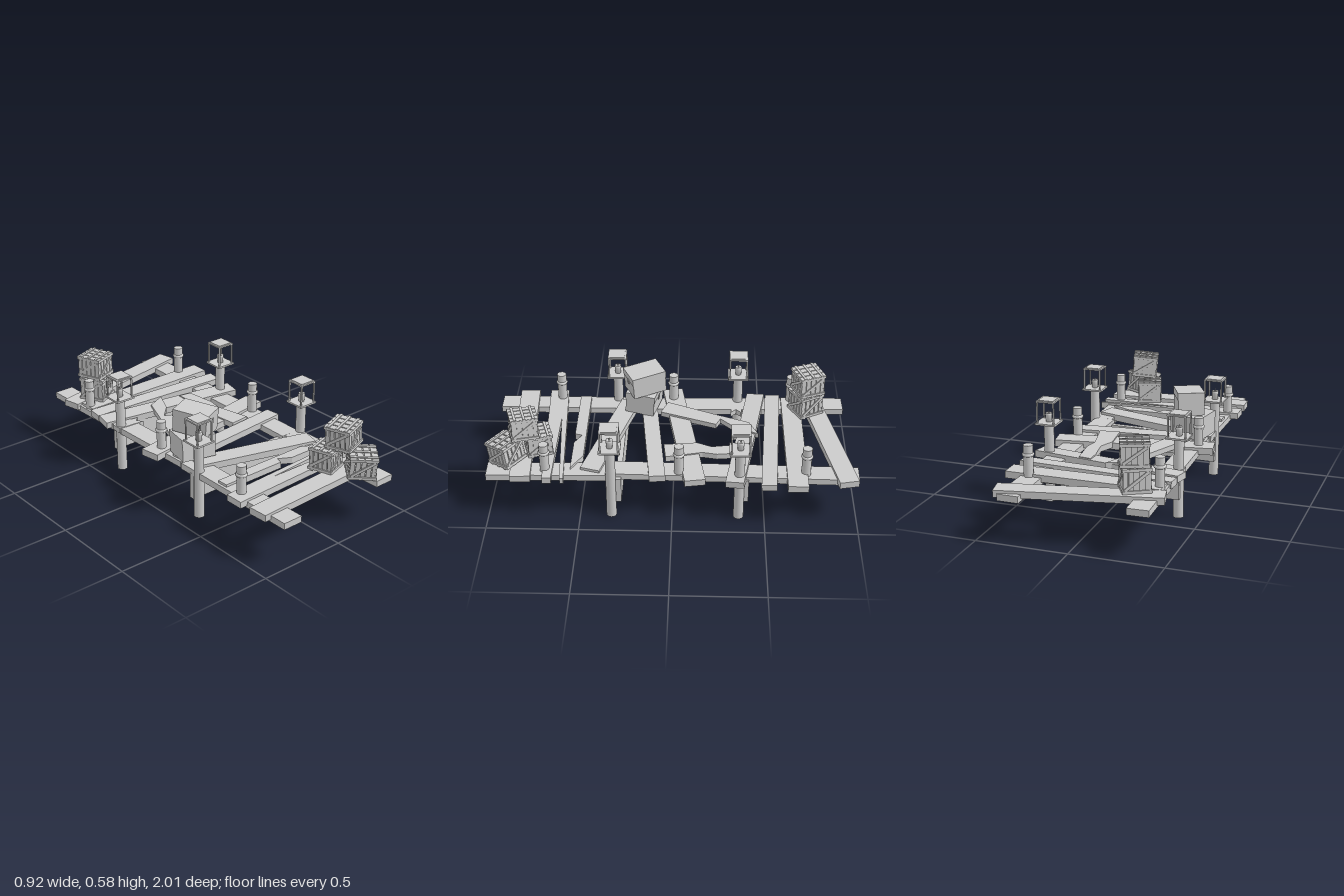
import * as THREE from 'three';

const mat = new THREE.MeshStandardMaterial({ color: 0xcccccc, side: THREE.DoubleSide });

function add(parent, name, geo, x = 0, y = 0, z = 0, ry = 0, rx = 0, rz = 0) {
  const m = new THREE.Mesh(geo, mat);
  m.name = name;
  m.position.set(x, y, z);
  m.rotation.set(rx, ry, rz, 'YXZ');
  parent.add(m);
  return m;
}
const box = (w, h, d) => new THREE.BoxGeometry(w, h, d);

// Flat splintered board from an outline of [x, z] points
function brokenBoard(parent, name, pts, y, h, rx = 0, rz = 0) {
  const cx = pts.reduce((s, p) => s + p[0], 0) / pts.length;
  const cz = pts.reduce((s, p) => s + p[1], 0) / pts.length;
  const shape = new THREE.Shape(pts.map(([x, z]) => new THREE.Vector2(x - cx, cz - z)));
  const geo = new THREE.ExtrudeGeometry(shape, { depth: h, bevelEnabled: false });
  geo.rotateX(-Math.PI / 2);
  add(parent, name, geo, cx, y, cz, 0, rx, rz);
}

// Slatted crate with edge frames, a diagonal brace on each side and battens on top
function crate(w, h, d) {
  const g = new THREE.Group();
  g.name = 'woodenCrate';
  const t = 0.006;
  add(g, 'crateCore', box(w - 4 * t, h - 3 * t, d - 4 * t));
  for (let s = 0; s < 4; s++) {
    const side = new THREE.Group();
    side.name = 'crateSide';
    side.rotation.y = s * Math.PI / 2;
    const len = s % 2 ? d : w, off = (s % 2 ? w : d) / 2;
    const n = 5, pitch = len / n;
    for (let i = 0; i < n; i++)
      add(side, 'slat', box(pitch * 0.8, h - t, t), (i - (n - 1) / 2) * pitch * 0.97, 0, off - t * 1.5);
    for (const k of [-1, 1]) {
      add(side, 'rail', box(len, 0.015, t), 0, k * (h / 2 - 0.009), off - t / 2);
    }
    const a = Math.atan2(h - 0.03, len - 0.02);
    add(side, 'brace', box(Math.hypot(h - 0.03, len - 0.02) - 0.012, 0.016, t), 0, 0, off - t / 2, 0, 0, a);
    g.add(side);
  }
  for (const k of [-1, 1]) {
    for (let i = 0; i < 4; i++)
      add(g, 'lidSlat', box(w / 4 * 0.84, t, d), (i - 1.5) * w / 4, k * (h / 2 - t / 2), 0);
    for (const j of [-1, 0, 1])
      add(g, 'batten', box(w, t, 0.014), 0, k * (h / 2 + t / 3), j * d * 0.33);
  }
  return g;
}

// Plain box with an overlapping lid
function lidBox(w, h, d) {
  const g = new THREE.Group();
  g.name = 'storageBox';
  add(g, 'boxBody', box(w - 0.005, h, d - 0.005));
  add(g, 'boxLid', box(w, 0.04, d), 0, h / 2 - 0.018, 0);
  for (const k of [-1, 1]) add(g, 'boxTape', box(0.02, 0.03, 0.004), 0, h / 2 - 0.045, k * d / 2);
  return g;
}

function place(parent, g, x, y, z, ry, rx = 0, rz = 0) {
  g.position.set(x, y, z);
  g.rotation.set(rx, ry, rz, 'YXZ');
  parent.add(g);
}

function lanternPost(x, z) {
  const g = new THREE.Group();
  g.name = 'lanternPost';
  g.position.set(x, 0, z);
  add(g, 'pole', new THREE.CylinderGeometry(0.027, 0.028, 0.44, 16), 0, 0.22, 0);
  add(g, 'lanternBase', box(0.116, 0.01, 0.116), 0, 0.445, 0);
  add(g, 'lanternRoof', box(0.104, 0.008, 0.104), 0, 0.569, 0);
  add(g, 'lanternCap', box(0.084, 0.004, 0.084), 0, 0.574, 0);
  for (const i of [-1, 1]) for (const j of [-1, 1])
    add(g, 'lanternStrut', box(0.008, 0.12, 0.008), i * 0.047, 0.508, j * 0.047);
  const candle = [[0, 0.45], [0.016, 0.45], [0.019, 0.488], [0.018, 0.499], [0.012, 0.497], [0, 0.495]];
  add(g, 'candle', new THREE.LatheGeometry(candle.map(p => new THREE.Vector2(...p)), 12));
  add(g, 'flame', new THREE.ConeGeometry(0.004, 0.018, 6), 0, 0.505, 0);
  return g;
}

function mooringPost(x, z) {
  const g = new THREE.Group();
  g.name = 'mooringPost';
  g.position.set(x, 0, z);
  add(g, 'mooringShaft', new THREE.CylinderGeometry(0.026, 0.026, 0.2, 12), 0, 0.337, 0);
  const ring = new THREE.TorusGeometry(0.023, 0.010, 8, 12);
  ring.rotateX(Math.PI / 2);
  add(g, 'mooringRing', ring, 0, 0.386, 0);
  return g;
}

export function createModel() {
  const root = new THREE.Group();
  root.name = 'brokenDock';

  // Long bearers, two lengths on each side: x, z, length, turn
  for (const [x, z, len, ry] of [
    [-0.335, -0.39, 1.15, 0.025], [-0.327, 0.6, 0.8, 0],
    [0.305, -0.34, 1.32, -0.017], [0.315, 0.66, 0.68, 0.02]])
    add(root, 'bearer', box(0.115, 0.036, len), x, 0.249, z, ry);

  // Whole deck planks: x, z, length, width, turn, roll
  for (const [x, z, len, w, ry, rx] of [
    [-0.01, -0.855, 0.855, 0.107, 0.206, 0], [0.035, -0.667, 0.84, 0.11, 0.005, 0],
    [0.02, -0.54, 0.855, 0.083, -0.055, 0.06], [0.005, -0.4, 0.855, 0.1, -0.156, 0.06],
    [-0.02, -0.053, 0.88, 0.113, 0.16, 0], [0.01, 0.117, 0.75, 0.088, 0.1, 0],
    [0.0, 0.35, 0.69, 0.108, -0.275, 0], [-0.01, 0.83, 0.83, 0.11, 0.045, 0]])
    add(root, 'deckPlank', box(len, 0.038, w), x, 0.263, z, ry, rx);

  // Splintered planks
  brokenBoard(root, 'brokenPlank', [[-0.37, 0.487], [0.21, 0.487], [0.32, 0.55], [0.09, 0.55],
    [0.02, 0.51], [0.01, 0.55], [-0.37, 0.55]], 0.245, 0.036);
  brokenBoard(root, 'splitPlank', [[-0.43, 0.625], [-0.07, 0.605], [0.415, 0.578], [0.415, 0.598],
    [-0.14, 0.64], [0.415, 0.645], [0.415, 0.693], [-0.43, 0.73]], 0.245, 0.036);
  brokenBoard(root, 'loosePlank', [[-0.3, 0.04], [-0.18, -0.24], [-0.11, -0.42], [0.0, -0.47],
    [-0.06, -0.34], [-0.14, -0.26], [-0.085, -0.235], [-0.2, 0.08]], 0.264, 0.03);
  brokenBoard(root, 'crackedPlank', [[0.1, -0.42], [0.17, -0.41], [0.19, -0.24], [0.175, -0.16],
    [0.22, 0.04], [0.105, 0.053], [0.085, -0.13], [0.12, -0.21], [0.1, -0.34]], 0.255, 0.034);
  brokenBoard(root, 'plankStub', [[-0.4, -0.39], [-0.24, -0.38], [-0.27, -0.35], [-0.24, -0.32],
    [-0.4, -0.33]], 0.24, 0.03);

  // Deep cross boards between the poles
  add(root, 'crossBoard', box(0.76, 0.15, 0.03), -0.005, 0.17, 0.288, 0, 0, 0.01);
  add(root, 'crossBoard', box(0.76, 0.14, 0.024), -0.005, 0.182, -0.398);

  for (const x of [-0.369, 0.36]) for (const z of [-0.36, 0.33]) root.add(lanternPost(x, z));

  for (const [x, z] of [[-0.365, -0.665], [0.325, -0.715], [-0.367, 0.01], [0.325, -0.035],
    [-0.36, 0.655], [0.325, 0.685]]) root.add(mooringPost(x, z));

  // Crate stacks
  place(root, crate(0.14, 0.125, 0.14), 0.155, 0.343, 0.735, 0.3);
  place(root, crate(0.15, 0.125, 0.15), 0.25, 0.343, 0.9, -0.67, 0.12, -0.06);
  place(root, crate(0.15, 0.125, 0.15), 0.207, 0.483, 0.803, 0.28, -0.02, 0.1);
  place(root, crate(0.15, 0.13, 0.15), -0.26, 0.347, -0.745, 0.5);
  place(root, crate(0.15, 0.125, 0.15), -0.26, 0.48, -0.75, 0.37);

  // Storage boxes
  place(root, lidBox(0.195, 0.125, 0.17), -0.285, 0.346, 0.175, -0.25, -0.06);
  place(root, lidBox(0.15, 0.125, 0.2), -0.262, 0.476, 0.17, 0.43, 0.06);

  return root;
}
